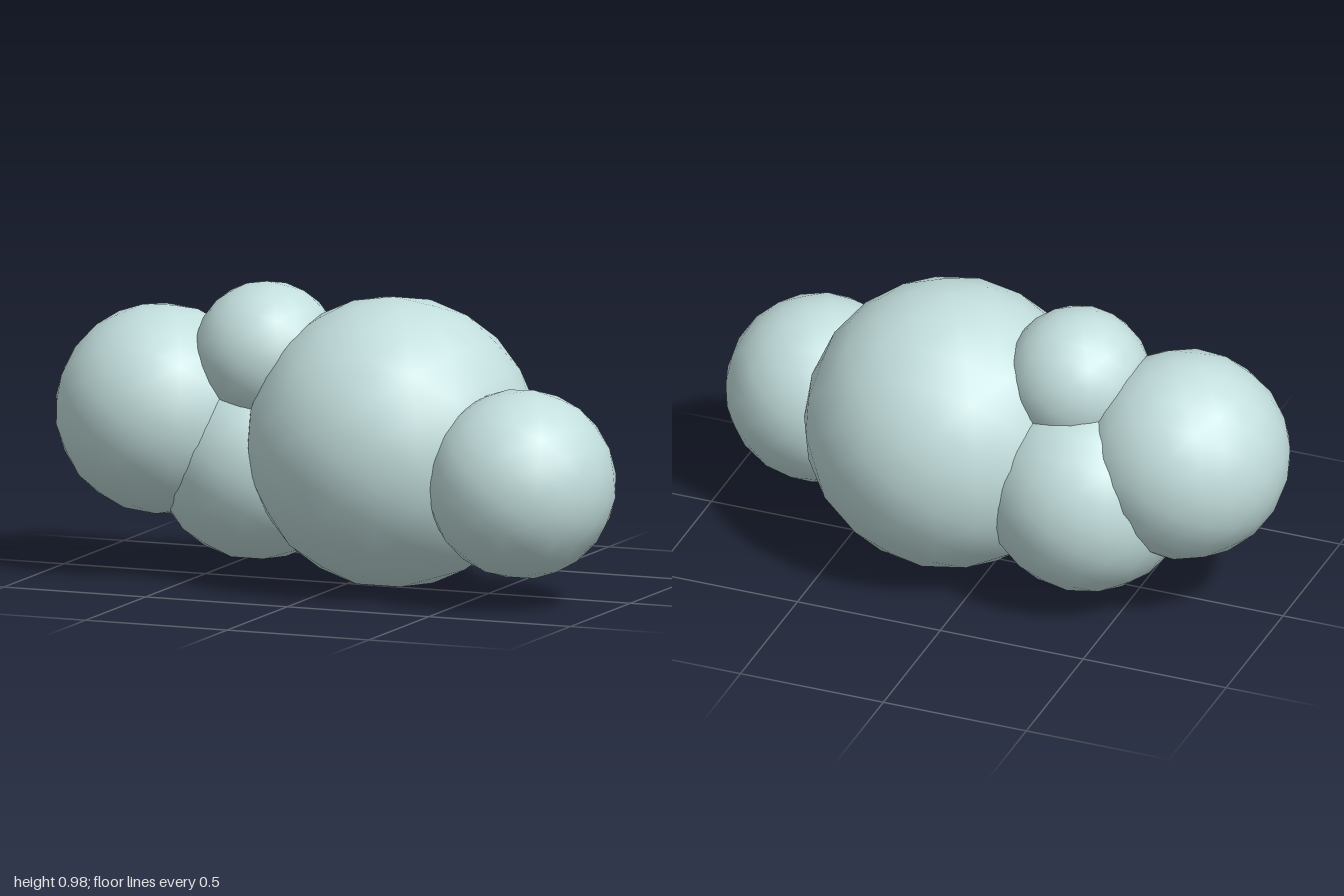
import * as THREE from 'three';

// Puffs of the cloud: name, centre, radius, slight tilt about x and z
const PUFFS = [
  { name: 'mainPuff', at: [0.163, 0.478, 0], r: 0.478, tilt: [0, 0] },
  { name: 'leftPuff', at: [0.69, 0.4, 0.177], r: 0.31, tilt: [-0.09, -0.11] },
  { name: 'rightPuff', at: [-0.657, 0.535, 0], r: 0.345, tilt: [0, -0.11] },
  { name: 'lowerPuff', at: [-0.35, 0.39, -0.082], r: 0.344, tilt: [0, 0] },
  { name: 'topPuff', at: [-0.283, 0.738, 0], r: 0.24, tilt: [0, 0] },
];

export function createModel() {
  const cloud = new THREE.Group();
  cloud.name = 'cloud';
  const mat = new THREE.MeshStandardMaterial({ color: 0xc2dedd });
  mat.name = 'pale blue';

  // Smooth-shaded, coarse icosphere shared by all puffs
  const ball = new THREE.IcosahedronGeometry(1, 3);
  for (const { name, at, r, tilt } of PUFFS) {
    const puff = new THREE.Mesh(ball, mat);
    puff.name = name;
    puff.position.set(...at);
    puff.rotation.set(tilt[0], 0, tilt[1]);
    puff.scale.setScalar(r);
    cloud.add(puff);
  }
  return cloud;
}
